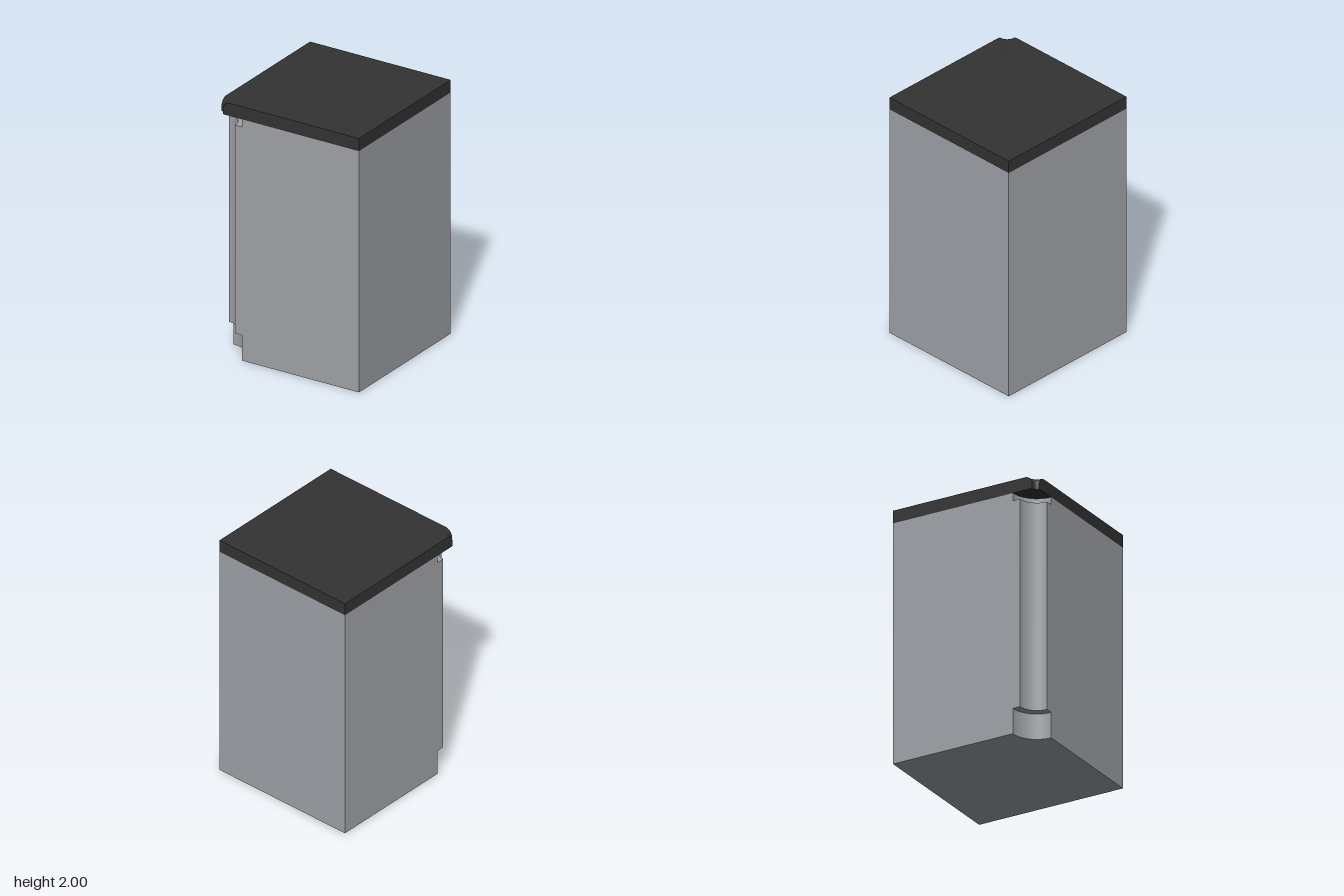
import * as THREE from 'three';
import { toCreasedNormals } from 'three/addons/utils/BufferGeometryUtils.js';

const H = 0.6; // half width and depth
const ARC = 20; // segments in the scooped corner

// Square outline whose front corner at -x is scooped out with radius r
function outline(r, y) {
  const pts = [];
  for (let i = 0; i <= ARC; i++) {
    const a = (i / ARC) * Math.PI / 2;
    pts.push([-H + r * Math.sin(a), y, H - r * Math.cos(a)]);
  }
  pts.push([H, y, H], [H, y, -H], [-H, y, -H]);
  return pts;
}

// Closed solid through a stack of [radius, height] levels
function scoopedSolid(levels) {
  const rings = levels.map(([r, y]) => outline(r, y));
  const n = rings[0].length;
  const far = n - 2; // corner opposite the scoop, from which both caps fan out
  const pos = [];
  const tri = (a, b, c) => pos.push(...a, ...b, ...c);
  for (let k = 0; k < rings.length - 1; k++) {
    const lo = rings[k], hi = rings[k + 1];
    for (let i = 0; i < n; i++) {
      const j = (i + 1) % n;
      tri(lo[i], lo[j], hi[j]);
      tri(lo[i], hi[j], hi[i]);
    }
  }
  const bottom = rings[0], top = rings[rings.length - 1];
  for (let i = 0; i < n; i++) {
    const j = (i + 1) % n;
    if (i === far || j === far) continue;
    tri(top[far], top[i], top[j]);
    tri(bottom[far], bottom[j], bottom[i]);
  }
  const geo = new THREE.BufferGeometry();
  geo.setAttribute('position', new THREE.Float32BufferAttribute(pos, 3));
  return toCreasedNormals(geo, 0.6);
}

export function createModel() {
  const cabinetGrey = new THREE.MeshStandardMaterial({ color: 0xa0a3a8 });
  cabinetGrey.name = 'cabinetGrey';
  const worktopBlack = new THREE.MeshStandardMaterial({ color: 0x333333 });
  worktopBlack.name = 'worktopBlack';

  const model = new THREE.Group();
  model.name = 'cornerCabinet';
  const add = (name, levels, material) => {
    const mesh = new THREE.Mesh(scoopedSolid(levels), material);
    mesh.name = name;
    model.add(mesh);
  };

  // Cabinet: deep scoop at plinth and top rail, shallower between
  add('plinth', [[0.2, 0], [0.2, 0.2]], cabinetGrey);
  add('cabinetBody', [[0.14, 0.2], [0.14, 1.84]], cabinetGrey);
  add('topRail', [[0.2, 1.84], [0.2, 1.9]], cabinetGrey);

  // Worktop: small scoop with a rounded-over upper edge
  const levels = [[0.04, 1.9]];
  const round = 0.06, steps = 10;
  for (let i = 0; i <= steps; i++) {
    const a = (i / steps) * Math.PI / 2;
    levels.push([0.04 + round * (1 - Math.cos(a)), 2 - round + round * Math.sin(a)]);
  }
  add('worktop', levels, worktopBlack);

  return model;
}
